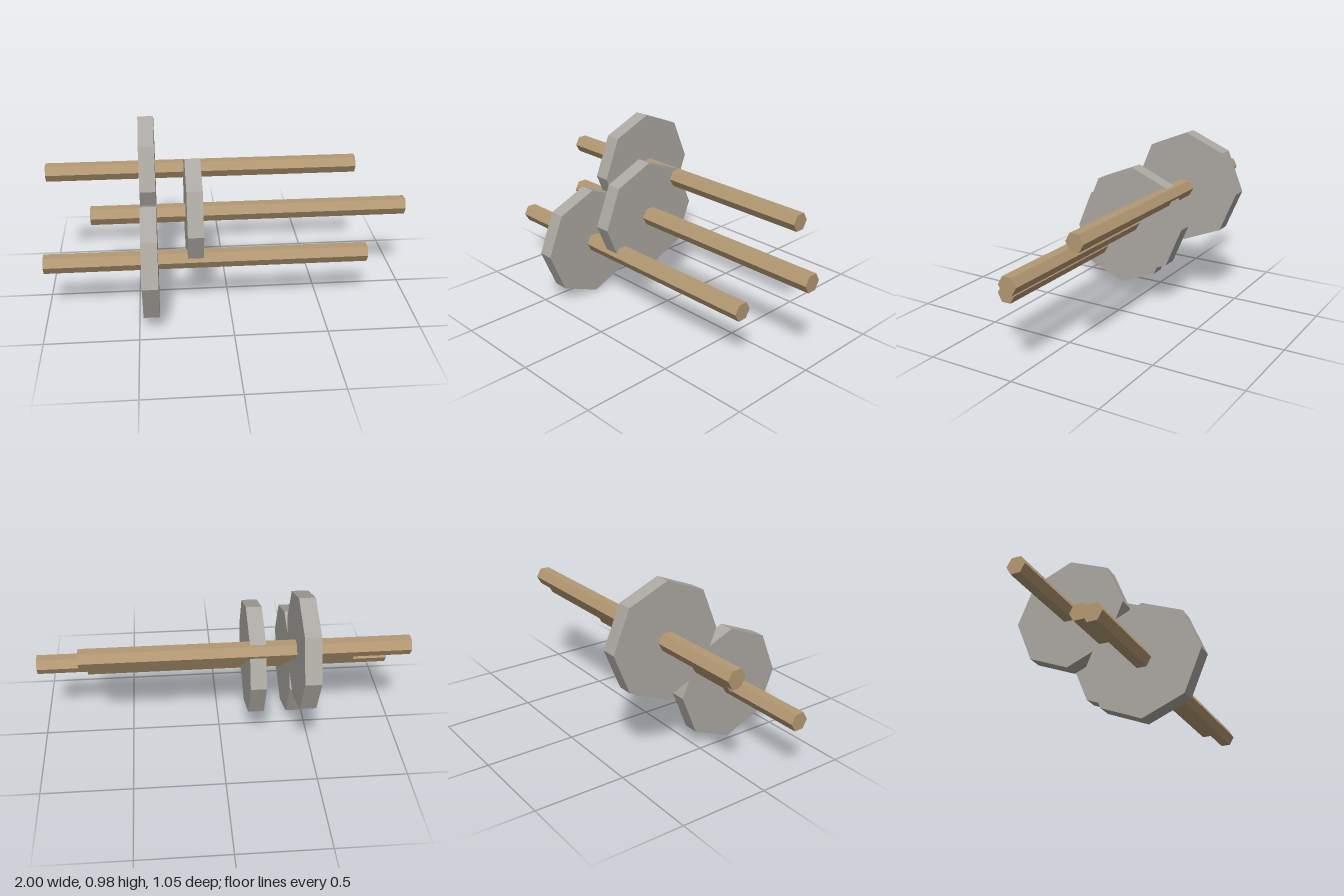
import * as THREE from 'three';

export function createModel() {
  const model = new THREE.Group();
  const wood = new THREE.MeshStandardMaterial({ color: 0xb49973, flatShading: true });
  wood.name = 'wood';
  const stone = new THREE.MeshStandardMaterial({ color: 0xaca8a2, flatShading: true });
  stone.name = 'stone grey';

  // Prism lying along x, with one corner pointing to +z
  const prism = (name, radius, length, sides, material, x, y, z) => {
    const geometry = new THREE.CylinderGeometry(radius, radius, length, sides);
    geometry.rotateZ(Math.PI / 2);
    const mesh = new THREE.Mesh(geometry, material);
    mesh.name = name;
    mesh.position.set(x, y, z);
    return mesh;
  };

  // Three parallel shafts, each carrying one octagonal wheel
  const axles = [
    { name: 'front', y: 0.316, z: 0.211, rodX: -0.125, wheelX: -0.433 },
    { name: 'middle', y: 0.492, z: 0, rodX: 0.125, wheelX: -0.187 },
    { name: 'back', y: 0.668, z: -0.211, rodX: -0.125, wheelX: -0.433 },
  ];
  for (const { name, y, z, rodX, wheelX } of axles) {
    const axle = new THREE.Group();
    axle.name = name + 'Axle';
    axle.add(
      prism(name + 'Shaft', 0.052, 1.75, 6, wood, rodX, y, z),
      prism(name + 'Wheel', 0.316, 0.086, 8, stone, wheelX, y, z),
    );
    model.add(axle);
  }
  return model;
}
